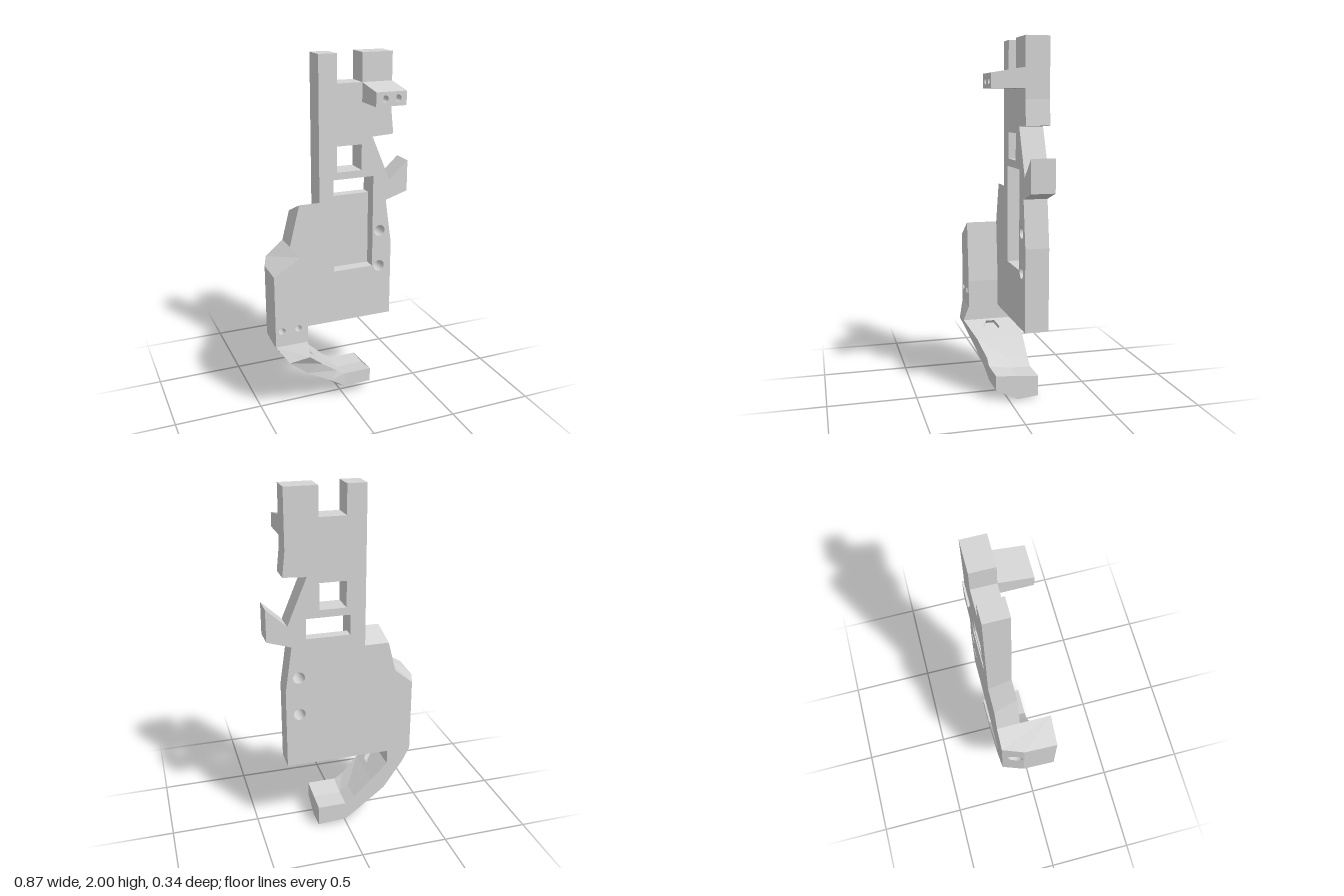
import * as THREE from 'three';

const grey = new THREE.MeshStandardMaterial({ color: 0xd5d5d5, side: THREE.DoubleSide });
grey.name = 'light grey';
const V = (p) => new THREE.Vector3(...p);

function mesh(name, geometry) {
  const m = new THREE.Mesh(geometry, grey);
  m.name = name;
  return m;
}

// points of a regular polygon, used for every hole
function ring(x, y, r, sides) {
  return Array.from({ length: sides }, (_, i) => {
    const t = Math.PI / 2 + (i / sides) * Math.PI * 2;
    return new THREE.Vector2(x + r * Math.sin(t), y - r * Math.cos(t));
  });
}
const rect = (x0, y0, x1, y1) => [[x0, y0], [x1, y0], [x1, y1], [x0, y1]].map((p) => new THREE.Vector2(...p));

// plate layer; the left shoulder slopes down towards the back
const SHOULDER = 1.19;
function plateLayer(name, outline, holes, z0, z1) {
  const shape = new THREE.Shape(outline.map((p) => new THREE.Vector2(...p)));
  shape.holes = holes.map((h) => new THREE.Path(h));
  const g = new THREE.ExtrudeGeometry(shape, { depth: z1 - z0, bevelEnabled: false });
  g.translate(0, 0, z0);
  const p = g.attributes.position;
  for (let i = 0; i < p.count; i++) {
    if (Math.abs(p.getY(i) - SHOULDER) > 1e-4) continue;
    const drop = 0.49 * (-0.04 - p.getZ(i));
    p.setY(i, SHOULDER - drop);
    if (p.getX(i) < -0.2) p.setX(i, p.getX(i) - 0.255 * drop);
  }
  g.computeVertexNormals();
  return mesh(name, g);
}

// flat face (a, b, c, d counter-clockwise) with blind holes sunk into it
function drilledFace(corners, holes) {
  const [a, b, c, d] = corners.map(V);
  const e1 = d.clone().sub(a).normalize();
  const n = b.clone().sub(a).cross(c.clone().sub(a)).normalize();
  const e2 = n.clone().cross(e1);
  const flat = (p) => {
    const q = p.clone().sub(a);
    return new THREE.Vector2(q.dot(e1), q.dot(e2));
  };
  const group = new THREE.Group();
  group.name = 'drilledFace';
  const shape = new THREE.Shape([a, b, c, d].map(flat));
  for (const { at, r, sides, depth } of holes) {
    const o = flat(V(at));
    shape.holes.push(new THREE.Path(ring(o.x, o.y, r, sides)));
    let wall = new THREE.CylinderGeometry(r, r, depth, sides, 1, true, Math.PI / 2);
    wall.rotateX(Math.PI / 2).translate(o.x, o.y, -depth / 2);
    if (sides < 8) {
      wall = wall.toNonIndexed();
      wall.computeVertexNormals();
    }
    const floor = new THREE.ShapeGeometry(new THREE.Shape(ring(o.x, o.y, r, sides)));
    floor.translate(0, 0, -depth);
    group.add(mesh('holeWall', wall), mesh('holeFloor', floor));
  }
  group.add(mesh('face', new THREE.ShapeGeometry(shape)));
  group.matrix.makeBasis(e1, e2, n).setPosition(a);
  group.matrix.decompose(group.position, group.quaternion, group.scale);
  return group;
}

// faceted loft through equal rings; drilled['ring,side'] lists holes for one face
function loft(name, rings, drilled) {
  const group = new THREE.Group();
  group.name = name;
  const pos = [];
  const tri = (...ps) => ps.forEach((p) => pos.push(...p));
  const n = rings[0].length;
  const last = rings[rings.length - 1];
  for (let i = 0; i < rings.length - 1; i++) {
    for (let j = 0; j < n; j++) {
      const k = (j + 1) % n;
      const a = rings[i][j], b = rings[i + 1][j], c = rings[i + 1][k], d = rings[i][k];
      const holes = drilled[`${i},${j}`];
      if (holes) group.add(drilledFace([a, b, c, d], holes));
      else { tri(a, b, c); tri(a, c, d); }
    }
  }
  for (let j = 1; j < n - 1; j++) {
    tri(rings[0][0], rings[0][j], rings[0][j + 1]);
    tri(last[0], last[j + 1], last[j]);
  }
  const g = new THREE.BufferGeometry();
  g.setAttribute('position', new THREE.Float32BufferAttribute(pos, 3));
  g.computeVertexNormals();
  group.add(mesh(name + 'Shell', g));
  return group;
}

export function createModel() {
  const model = new THREE.Group();
  model.name = 'bracket';

  // main plate: front layer with the pocket, back layer with the slot
  const outline = [
    [-0.105, 2], [-0.105, SHOULDER], [-0.225, SHOULDER], [-0.285, 0.953], [-0.25, 0.6], [-0.25, 0.443],
    [0.342, 0.443], [0.342, 0.9], [0.304, 1.16], [0.437, 1.203], [0.437, 1.383], [0.324, 1.278],
    [0.215, 1.538], [0.342, 1.545], [0.327, 1.68], [0.327, 2], [0.149, 2], [0.149, 1.842], [0.001, 1.842], [0.001, 2],
  ];
  const through = [rect(0.001, 1.353, 0.149, 1.5), ring(0.267, 0.978, 0.033, 24), ring(0.267, 0.758, 0.033, 24)];
  model.add(
    plateLayer('plateFront', outline, [...through, rect(-0.02, 0.763, 0.223, 1.311)], -0.11, -0.04),
    plateLayer('plateBack', outline, [...through, rect(-0.02, 1.198, 0.223, 1.311)], -0.172, -0.11),
  );

  // upper lug with sloped top and two small holes
  const small = (x, y) => ({ at: [x, y, 0.14], r: 0.019, sides: 20, depth: 0.06 });
  const lugRing = (yFront, yBack) => [
    [0.327, yFront, 0.14], [0.327, yBack, -0.04], [0.149, yBack, -0.04], [0.149, yFront, 0.14],
  ];
  model.add(loft('upperLug', [lugRing(1.812, 1.842), lugRing(1.735, 1.735)],
    { '0,3': [small(0.202, 1.775), small(0.278, 1.775)] }));

  // side block flowing into the curved hook
  // each ring: inner front, inner middle, inner back, outer back, outer middle, outer front
  const zs = [0.14, -0.05, -0.172, -0.172, -0.05, 0.14];
  const block = (xIn, yIn, yOut) => [
    ...[0, 1, 2].map((i) => [xIn, yIn, zs[i]]),
    [-0.388, yOut, zs[3]], [-0.432, yOut, zs[4]], [-0.437, yOut, zs[5]],
  ];
  const top = block(-0.285, 0.953, 0.86);
  top[3][1] = 0.868;
  model.add(loft('sideBlockAndHook', [
    top,
    block(-0.25, 0.6, 0.6),
    block(-0.25, 0.443, 0.443),
    [[-0.25, 0.36, 0.172], [-0.25, 0.36, -0.05], [-0.25, 0.36, -0.172],
      [-0.345, 0.36, -0.172], [-0.39, 0.35, -0.05], [-0.37, 0.345, 0.172]],
    [[-0.155, 0.265, 0.11], [-0.155, 0.265, -0.05], [-0.155, 0.265, -0.172],
      [-0.235, 0.2, -0.172], [-0.25, 0.183, -0.05], [-0.25, 0.233, 0.125]],
    [[-0.05, 0.18, 0.075], [-0.05, 0.168, -0.05], [-0.05, 0.168, -0.172],
      [-0.08, 0.08, -0.172], [-0.09, 0.073, -0.05], [-0.09, 0.127, 0.088]],
    [[0, 0.148, 0.075], [0.002, 0.128, -0.05], [0.002, 0.128, -0.172],
      [0, 0.022, -0.172], [0, 0.01, -0.05], [0, 0.065, 0.075]],
    [[0.166, 0.148, 0.075], [0.166, 0.128, -0.05], [0.166, 0.128, -0.172],
      [0.166, 0.012, -0.172], [0.166, 0, -0.05], [0.166, 0.065, 0.075]],
  ], {
    '0,3': [{ at: [-0.415, 0.69, -0.098], r: 0.045, sides: 24, depth: 0.06 }],
    '1,5': [small(-0.4, 0.535), small(-0.305, 0.535)],
    '3,0': [{ at: [-0.209, 0.319, 0.01], r: 0.05, sides: 6, depth: 0.028 }],
  }));
  return model;
}
